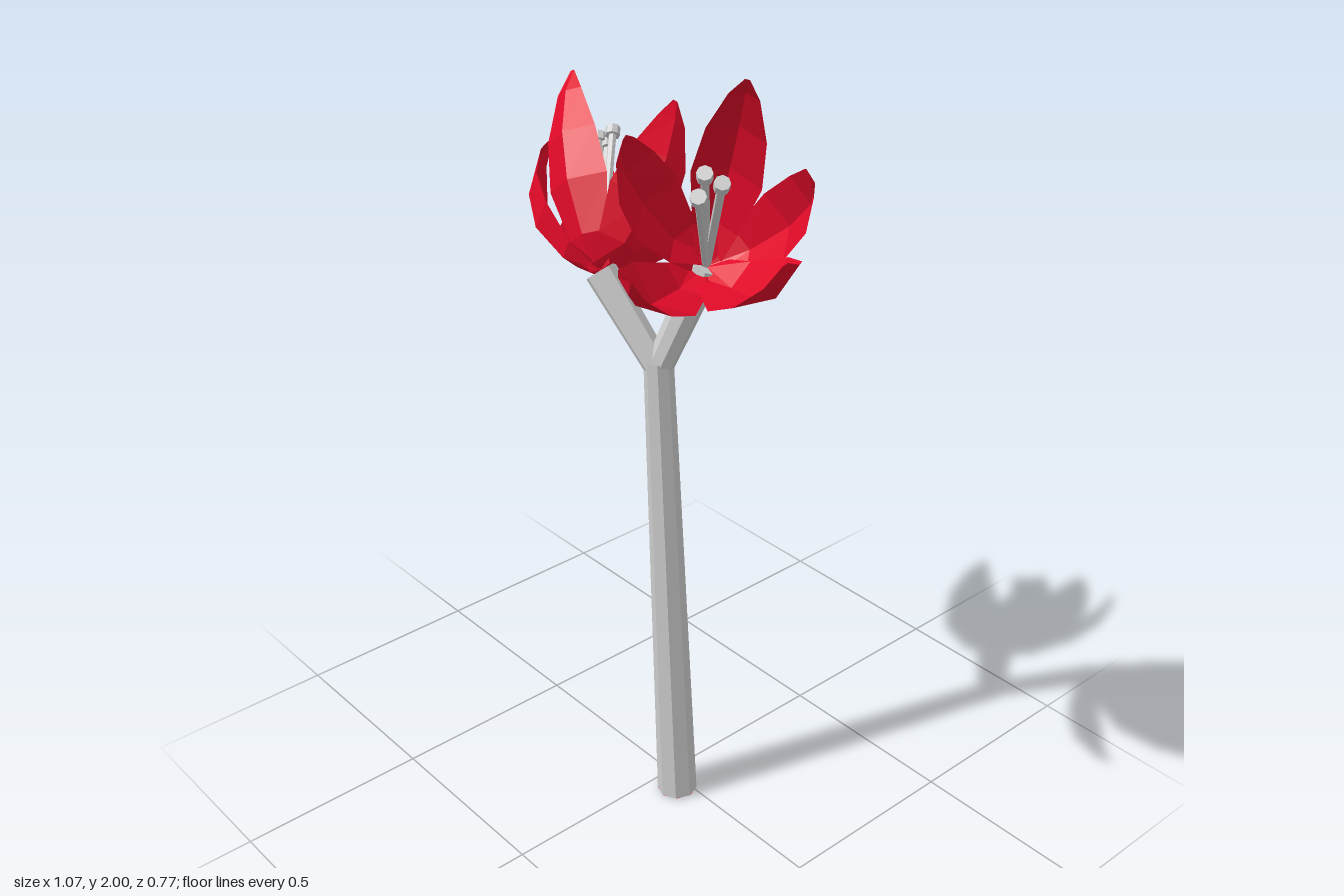
import * as THREE from 'three';

const V = (x, y, z) => new THREE.Vector3(x, y, z);
const grey = new THREE.MeshStandardMaterial({ color: 0xcccccc, flatShading: true });
const red = new THREE.MeshStandardMaterial({ color: 0xe00a28, flatShading: true, side: THREE.DoubleSide });

// Tapered rod between two points
function rod(name, a, b, r0, r1, sides = 8, open = false) {
  const dir = b.clone().sub(a);
  const mesh = new THREE.Mesh(new THREE.CylinderGeometry(r1, r0, dir.length(), sides, 1, open), grey);
  mesh.position.copy(a).addScaledVector(dir, 0.5);
  mesh.quaternion.setFromUnitVectors(V(0, 1, 0), dir.normalize());
  mesh.name = name;
  return mesh;
}

// Rows of a petal: [position along it, half width, outward bulge, cup depth]
const ROWS = [
  [0, 0.036, 0.004, 0],
  [0.16, 0.07, 0.06, 0.026],
  [0.42, 0.108, 0.09, 0.042],
  [0.66, 0.09, 0.082, 0.034],
  [0.88, 0.045, 0.042, 0.014],
  [1, 0.007, 0, 0],
];

// Petal folded along its middle rib, bulging away from the flower's axis
function petal(base, tip, axis, width, bend) {
  const chord = tip.clone().sub(base);
  const radial = chord.clone().addScaledVector(axis, -chord.dot(axis)).normalize();
  const side = axis.clone().cross(radial).normalize();
  const along = chord.clone().normalize();
  const out = radial.clone().addScaledVector(along, -radial.dot(along)).normalize();
  const pos = [], index = [];
  ROWS.forEach(([t, w, bulge, cup], i) => {
    for (const s of [-1, 0, 1]) {
      const p = base.clone().addScaledVector(chord, t)
        .addScaledVector(out, bulge * bend - cup * Math.abs(s))
        .addScaledVector(side, w * width * s);
      pos.push(p.x, p.y, p.z);
    }
    if (i === 0) return;
    for (let j = 0; j < 2; j++) {
      const a = (i - 1) * 3 + j, b = a + 3;
      index.push(a, a + 1, b + 1, a, b + 1, b);
    }
  });
  const geo = new THREE.BufferGeometry();
  geo.setAttribute('position', new THREE.Float32BufferAttribute(pos, 3));
  geo.setIndex(index);
  geo.computeVertexNormals();
  const mesh = new THREE.Mesh(geo, red);
  mesh.name = 'petal';
  return mesh;
}

// Each petal is given as [tip, width factor, bend factor]
function flower(name, base, petals, anthers) {
  const g = new THREE.Group();
  g.name = name;
  const axis = V(0, 0, 0);
  petals.forEach(([tip]) => axis.add(tip));
  axis.divideScalar(petals.length).sub(base).normalize();
  const heart = base.clone().addScaledVector(axis, 0.004);
  petals.forEach(([tip, width, bend]) => g.add(petal(heart, tip, axis, width, bend)));
  // Stamens, each a thin filament with a small disc on its end
  anthers.forEach(end => {
    const start = base.clone().lerp(end, 0.04);
    const d = end.clone().sub(start).normalize();
    g.add(rod('filament', start, end, 0.01, 0.01, 6));
    g.add(rod('anther', end.clone().addScaledVector(d, -0.012), end.clone().addScaledVector(d, 0.012), 0.018, 0.018));
  });
  return g;
}

export function createModel() {
  const model = new THREE.Group();
  model.name = 'flowerStalk';

  // Stem with its cut end, and two branches
  const foot = V(0.065, 0.003, 0.03), fork = V(0, 1.26, 0.035);
  const leftBase = V(0.075, 1.5, -0.045), rightBase = V(-0.16, 1.445, 0.075);
  model.add(rod('stem', foot, fork, 0.052, 0.036, 8, true));
  const cut = new THREE.Mesh(new THREE.CircleGeometry(0.052, 8), red);
  cut.name = 'stemCutEnd';
  cut.position.copy(foot);
  cut.quaternion.setFromUnitVectors(V(0, 0, 1), foot.clone().sub(fork).normalize());
  model.add(cut);
  model.add(rod('leftBranch', V(0, 1.24, 0.035), leftBase, 0.034, 0.04));
  model.add(rod('rightBranch', V(0, 1.24, 0.035), rightBase, 0.034, 0.04));

  // Flowers: petals, then stamen ends
  model.add(flower('leftFlower', leftBase, [
    [V(0.14, 1.89, 0.245), 0.8, 1],
    [V(0.28, 2.0, 0.035), 0.75, 0.9],
    [V(0.415, 1.83, -0.01), 0.75, 1.25],
    [V(0.53, 1.71, 0.16), 1, 1],
    [V(0.32, 1.67, 0.385), 0.85, 1],
  ], [V(0.3, 1.8, 0.12), V(0.275, 1.82, 0.145), V(0.295, 1.785, 0.18)]));
  model.add(flower('rightFlower', rightBase, [
    [V(-0.44, 1.83, -0.075), 0.8, 0.9],
    [V(-0.22, 1.78, -0.21), 0.85, 1],
    [V(-0.275, 1.55, -0.385), 0.9, 1],
    [V(-0.53, 1.51, -0.26), 1, 1],
    [V(-0.525, 1.64, -0.075), 0.75, 1.25],
  ], [V(-0.425, 1.65, -0.14), V(-0.395, 1.67, -0.16), V(-0.405, 1.635, -0.15)]));
  return model;
}
